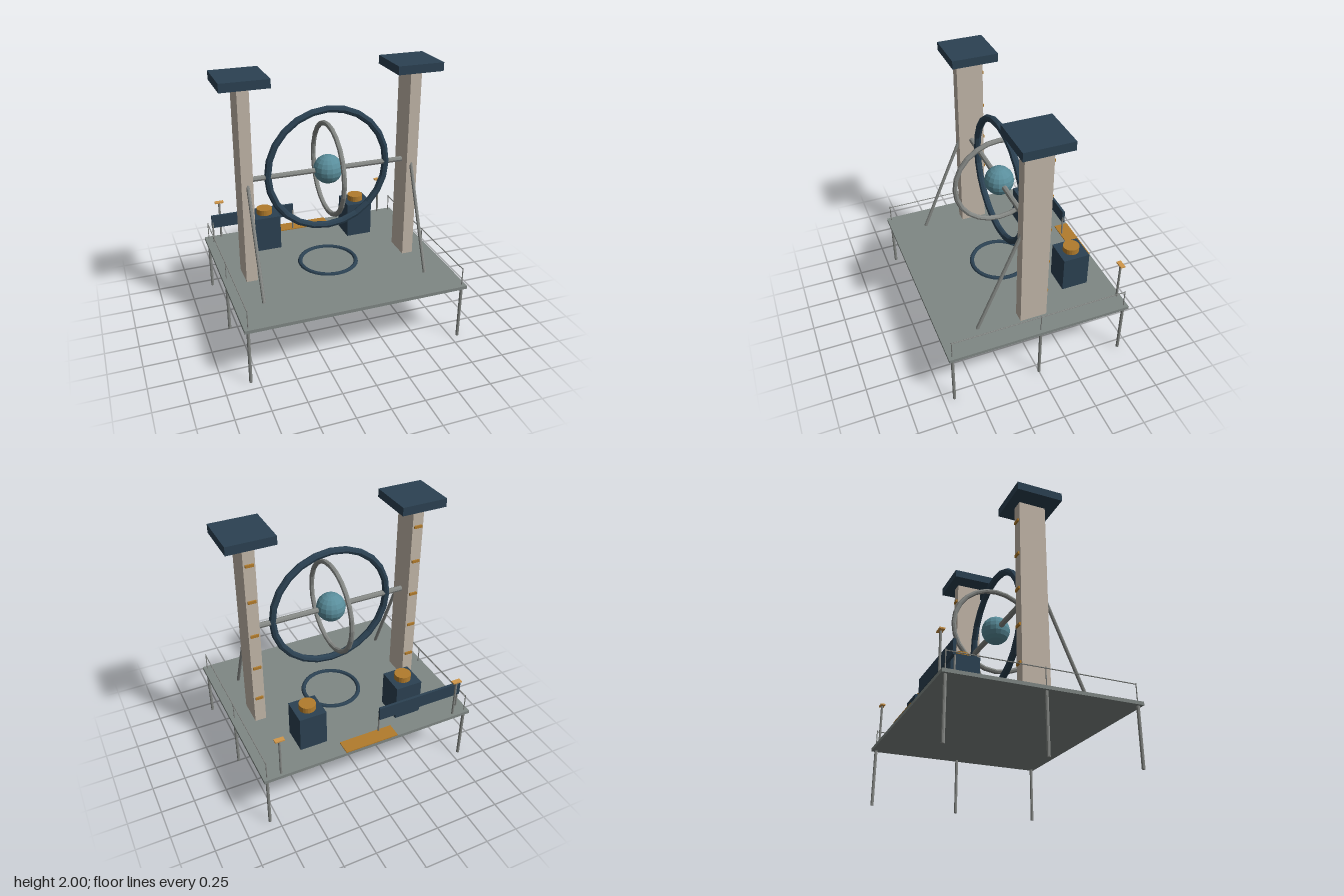
import * as THREE from 'three';

const material = (name, color) => {
  const m = new THREE.MeshStandardMaterial({ color, flatShading: true });
  m.name = name;
  return m;
};

export function createModel() {
  const model = new THREE.Group();
  model.name = 'gyroscopePlatform';

  const deck = material('deckGrey', 0x7f8784);
  const metal = material('metalGrey', 0x858885);
  const navy = material('navy', 0x2b4152);
  const stone = material('warmStone', 0xc2b6a8);
  const amber = material('amber', 0xb27c2c);
  const paleAmber = material('paleAmber', 0xd0974a);
  const teal = material('teal', 0x5a8e9c);

  const add = (name, geometry, mat, x = 0, y = 0, z = 0) => {
    const mesh = new THREE.Mesh(geometry, mat);
    mesh.name = name;
    mesh.position.set(x, y, z);
    model.add(mesh);
    return mesh;
  };
  const box = (name, mat, w, h, d, x, y, z) =>
    add(name, new THREE.BoxGeometry(w, h, d), mat, x, y, z);
  // Round bar between two points
  const bar = (name, mat, radius, from, to, sides = 8) => {
    const a = new THREE.Vector3(...from);
    const b = new THREE.Vector3(...to);
    const dir = b.clone().sub(a);
    const mesh = add(name, new THREE.CylinderGeometry(radius, radius, dir.length(), sides), mat);
    mesh.position.copy(a).add(b).multiplyScalar(0.5);
    mesh.quaternion.setFromUnitVectors(new THREE.Vector3(0, 1, 0), dir.normalize());
    return mesh;
  };

  const floor = 0.452;
  const hub = 1.23;

  // Deck, floor ring and entrance mat
  box('deck', deck, 1.68, 0.025, 1.4, 0, floor - 0.0125, 0);
  add('floorRing', new THREE.TorusGeometry(0.218, 0.017, 8, 32), navy, 0, floor, 0).rotation.x = Math.PI / 2;
  box('entranceMat', amber, 0.42, 0.008, 0.112, 0, floor + 0.004, -0.643);

  for (const side of [-1, 1]) {
    // Legs and side railing
    for (const z of [-0.67, 0, 0.67]) {
      bar('leg', metal, 0.012, [side * 0.81, 0, z], [side * 0.81, floor - 0.02, z]);
      bar('railPost', metal, 0.004, [side * 0.81, floor, z], [side * 0.81, 0.592, z], 6);
    }
    bar('handrail', metal, 0.004, [side * 0.81, 0.583, -0.67], [side * 0.81, 0.583, 0.67], 6);

    // Tower, cap, ladder rungs and brace
    box('tower', stone, 0.085, 1.937 - floor, 0.204, side * 0.635, (1.937 + floor) / 2, 0);
    box('towerCap', navy, 0.35, 0.063, 0.35, side * 0.635, 1.9685, 0);
    for (let i = 0; i < 5; i++) {
      box('ladderRung', amber, 0.06, 0.02, 0.02, side * 0.635, 0.67 + i * 0.28, -0.104);
    }
    bar('brace', metal, 0.013, [side * 0.63, floor, 0.418], [side * 0.63, hub, 0.09]);

    // Pedestal with round button
    box('pedestal', navy, 0.207, 0.281, 0.207, side * 0.39, floor + 0.1405, -0.425);
    add('pedestalButton', new THREE.CylinderGeometry(0.062, 0.062, 0.045, 20), amber, side * 0.39, 0.755, -0.425);

    // Small stand with a reading plate
    bar('standPost', metal, 0.009, [side * 0.705, floor, -0.672], [side * 0.705, 0.762, -0.672]);
    box('standPlate', paleAmber, 0.07, 0.01, 0.036, side * 0.705, 0.766, -0.672);
  }

  // Axle, rings and core
  bar('axle', metal, 0.021, [-0.6, hub, 0], [0.6, hub, 0]);
  add('outerRing', new THREE.TorusGeometry(0.461, 0.027, 8, 24), navy, 0, hub, 0);
  add('innerRing', new THREE.TorusGeometry(0.342, 0.019, 8, 24), metal, 0, hub, 0).rotation.y = Math.PI / 2;
  add('core', new THREE.SphereGeometry(0.11, 16, 10), teal, 0, hub, 0);

  // Blank notice board on two posts
  box('noticeBoard', navy, 0.69, 0.106, 0.02, -0.443, 0.631, -0.607);
  for (const x of [-0.78, -0.102]) {
    bar('boardPost', metal, 0.007, [x, floor, -0.601], [x, 0.63, -0.601]);
  }

  return model;
}
